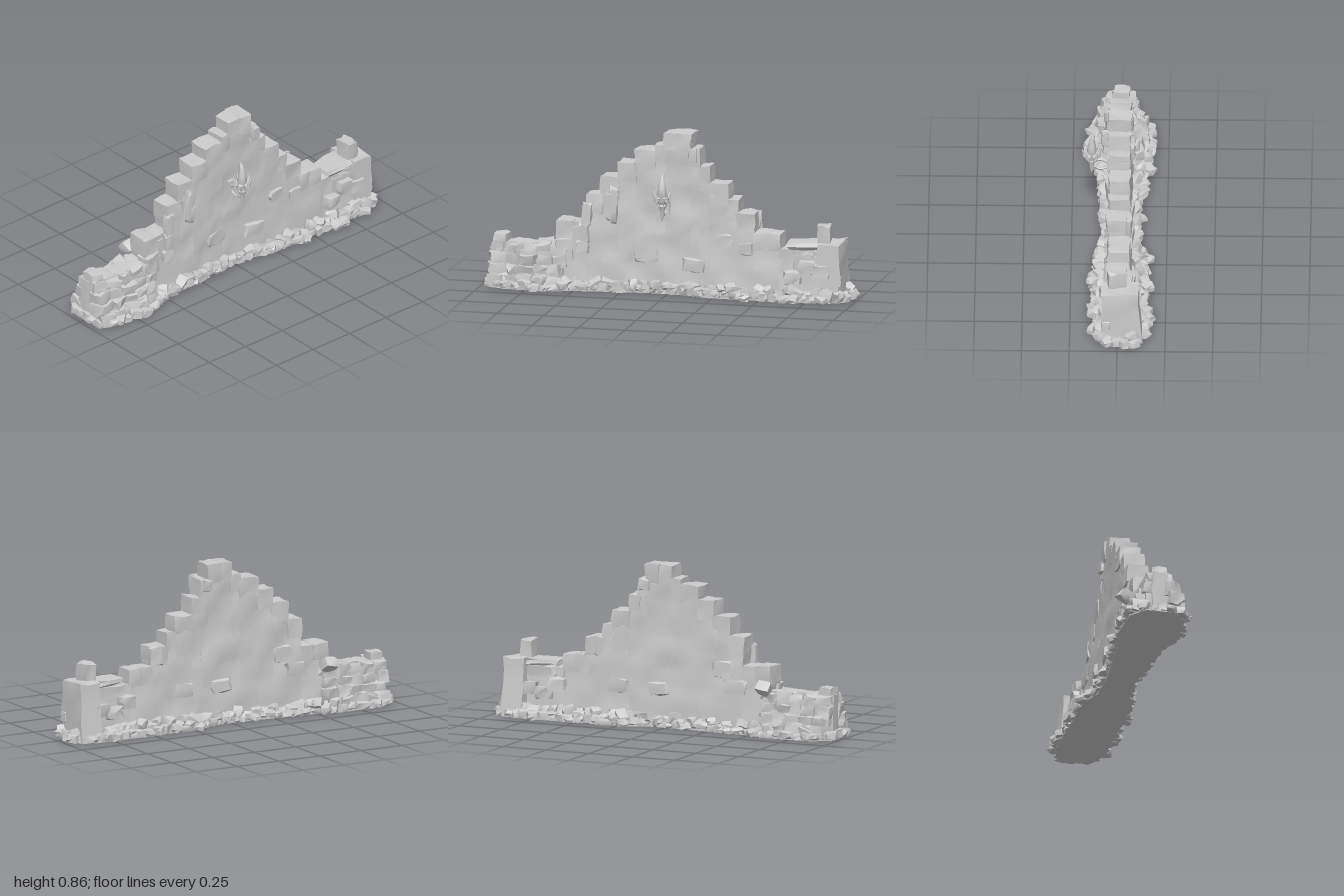
import * as THREE from 'three';
import { toCreasedNormals } from 'three/addons/utils/BufferGeometryUtils.js';

const grey = new THREE.MeshStandardMaterial({ color: 0xcccccc });
const thin = new THREE.MeshStandardMaterial({ color: 0xcccccc, side: THREE.DoubleSide });

let state = 7;
const rnd = (a = 0, b = 1) => {
  state = (state * 16807) % 2147483647;
  return a + (b - a) * (state / 2147483647);
};
// repeatable value in -1..1 for a lattice position
const hash = (a, b, c) => {
  const s = Math.sin(a * 127.1 + b * 311.7 + c * 74.7) * 43758.5453;
  return 2 * (s - Math.floor(s)) - 1;
};
const lerp = THREE.MathUtils.lerp;

function warp(geo, rule) {
  const p = geo.attributes.position, v = new THREE.Vector3();
  for (let i = 0; i < p.count; i++) {
    v.fromBufferAttribute(p, i);
    rule(v);
    p.setXYZ(i, v.x, v.y, v.z);
  }
  return geo;
}

function add(parent, name, geo, material = grey, crease = 0.65) {
  const mesh = new THREE.Mesh(toCreasedNormals(geo, crease), material);
  mesh.name = name;
  parent.add(mesh);
  return mesh;
}

// Chipped block: a subdivided box with softened edges and jittered corners
function stone(parent, name, pos, size, rot = [0, 0, 0], rough = 0.09, round = 0.1) {
  const seed = rnd(1, 90);
  const m = new THREE.Matrix4().compose(
    new THREE.Vector3(...pos),
    new THREE.Quaternion().setFromEuler(new THREE.Euler(...rot)),
    new THREE.Vector3(...size));
  const geo = warp(new THREE.BoxGeometry(1, 1, 1, 2, 2, 2), v => {
    const k = Math.abs(v.x) + Math.abs(v.y) + Math.abs(v.z);
    const [a, b, c] = [v.x, v.y, v.z];
    v.multiplyScalar(1 - round * Math.max(0, k - 0.5));
    v.x += rough * hash(a + seed, b, c);
    v.y += rough * hash(a, b + seed, c);
    v.z += rough * hash(a, b, c + seed);
    v.applyMatrix4(m);
    v.y = Math.max(0, v.y);
  });
  return add(parent, name, geo);
}

// Stepped skyline: x start, x end, top
const steps = [
  [-0.6, -0.44, 0.36], [-0.44, -0.36, 0.51], [-0.36, -0.27, 0.61],
  [-0.27, -0.18, 0.69], [-0.18, -0.07, 0.76], [-0.07, -0.02, 0.79],
  [-0.02, 0.12, 0.86], [0.12, 0.165, 0.78], [0.165, 0.22, 0.69],
  [0.22, 0.32, 0.6], [0.32, 0.37, 0.52], [0.37, 0.46, 0.45],
  [0.46, 0.6, 0.35], [0.6, 0.82, 0.27],
];

function buildWall(root) {
  const wall = new THREE.Group();
  wall.name = 'wall';
  root.add(wall);
  for (const [x0, x1, top] of steps) {
    const w = x1 - x0;
    const geo = new THREE.BoxGeometry(w, top - 0.03, 0.1,
      Math.ceil(w / 0.035), Math.ceil(top / 0.035), 2);
    geo.translate((x0 + x1) / 2, (top - 0.03) / 2, 0);
    add(wall, 'wallSection', warp(geo, v => {
      // worn masonry courses, thicker towards the foot
      const row = Math.floor(v.y / 0.09);
      const col = Math.floor(v.x / 0.14 + (row % 2) * 0.5);
      const side = Math.sign(v.z);
      v.z += side * (0.004 * hash(row, col, side) + 0.003 * Math.sin(v.x * 23 + v.y * 17)
        + 0.013 * Math.max(0, 1 - v.y / 0.5)) - 0.003;
      v.x += 0.004 * Math.sin(v.y * 40);
    }), grey, 0.9);
    // coping blocks along the broken edge
    const n = Math.max(1, Math.round(w / 0.085));
    for (let i = 0; i < n; i++) {
      const h = 0.09 + rnd(0, 0.02);
      stone(wall, 'copingStone', [x0 + w * (i + 0.5) / n, top - h / 2, -0.003],
        [w / n + 0.012, h, 0.112 + rnd(-0.008, 0.012)],
        [0, rnd(-0.05, 0.05), rnd(-0.05, 0.05)], 0.05, 0.04);
    }
  }
  // stones standing proud of both faces: x, y, z, width, height, depth
  [
    [0.135, 0.745, 0.067, 0.04, 0.07, 0.05], [0.13, 0.745, -0.06, 0.05, 0.06, 0.035],
    [-0.3, 0.46, 0.055, 0.05, 0.18, 0.03], [-0.29, 0.41, 0.06, 0.03, 0.09, 0.03],
    [-0.45, 0.3, 0.06, 0.05, 0.11, 0.04], [-0.44, 0.4, 0.055, 0.05, 0.12, 0.04],
    [-0.46, 0.23, 0.065, 0.06, 0.06, 0.04], [0.44, 0.4, -0.055, 0.07, 0.1, 0.03],
    [0.3, 0.3, 0.05, 0.09, 0.06, 0.03], [0.42, 0.26, 0.055, 0.07, 0.06, 0.03],
    [-0.12, 0.2, 0.055, 0.11, 0.07, 0.03], [0.14, 0.16, 0.06, 0.12, 0.07, 0.03],
    [-0.33, 0.33, -0.06, 0.11, 0.08, 0.03], [-0.4, 0.24, -0.06, 0.12, 0.08, 0.04],
    [0.05, 0.2, -0.06, 0.12, 0.07, 0.03], [0.28, 0.2, -0.06, 0.11, 0.07, 0.03],
  ].forEach(([x, y, z, w, h, d]) =>
    stone(wall, 'proudStone', [x, y, z], [w, h, d], [0, rnd(-0.15, 0.15), rnd(-0.1, 0.1)], 0.1));
}

// Broken pier at the left (+x) end, with a loose slab beside it
function buildPier(root) {
  const pier = new THREE.Group();
  pier.name = 'endPier';
  root.add(pier);
  const body = new THREE.BoxGeometry(0.12, 0.31, 0.19, 3, 6, 4).translate(0.868, 0.155, -0.013);
  add(pier, 'pierBody', warp(body, v => {
    v.z += (v.z < 0 ? -0.025 : 0.004) * Math.max(0, 1 - v.y / 0.25);
    v.x += 0.006 * hash(v.x, v.y, v.z);
    v.y = Math.max(0, v.y + (v.y > 0.3 ? 0.008 * hash(v.z, v.x, 2) : 0));
  }));
  stone(pier, 'pierTop', [0.83, 0.345, 0], [0.07, 0.11, 0.1], [0, 0.1, 0], 0.07);
  stone(pier, 'looseSlab', [0.74, 0.29, 0.0], [0.2, 0.04, 0.14], [0, 0.1, 0.03], 0.07);
  stone(pier, 'looseSlab', [0.72, 0.245, -0.02], [0.16, 0.06, 0.14], [0, -0.1, 0], 0.06);
  stone(pier, 'pierFootStone', [0.92, 0.11, 0.06], [0.03, 0.06, 0.04]);
  for (let i = 0; i < 6; i++)
    stone(pier, 'fallenBlock', [0.63 + 0.04 * i, rnd(0.1, 0.19), i % 2 ? 0.06 : -0.075],
      [0.09, 0.07, 0.07], [0, rnd(-0.3, 0.3), 0]);
}

// Collapsed heap of blocks at the right (-x) end
function buildHeap(root) {
  const heap = new THREE.Group();
  heap.name = 'collapsedEnd';
  root.add(heap);
  stone(heap, 'heapCore', [-0.755, 0.1, 0], [0.38, 0.2, 0.16], [0, 0, 0], 0.03, 0.03);
  for (let layer = 0; layer < 4; layer++) {
    const depth = 0.125 - layer * 0.018;
    for (let i = 0; i < 5; i++)
      for (const side of [-1, 1])
        stone(heap, 'heapBlock',
          [-0.91 + i * 0.078 + rnd(-0.015, 0.015), 0.04 + layer * 0.052, side * (depth - 0.03)],
          [rnd(0.07, 0.1), rnd(0.06, 0.08), rnd(0.07, 0.1)],
          [rnd(-0.15, 0.15), rnd(-0.4, 0.4), rnd(-0.12, 0.12)]);
  }
  stone(heap, 'endPost', [-0.915, 0.12, 0], [0.08, 0.24, 0.1], [0, 0.1, 0], 0.05);
  stone(heap, 'endPostCap', [-0.91, 0.235, 0], [0.075, 0.075, 0.09], [0, -0.1, 0], 0.06);
  for (let i = 0; i < 4; i++)
    stone(heap, 'heapTop', [-0.83 + i * 0.065, 0.2, rnd(-0.02, 0.02)],
      [0.08, 0.07, 0.11], [0, rnd(-0.2, 0.2), rnd(-0.12, 0.12)]);
  stone(heap, 'tiltedBlock', [-0.58, 0.255, -0.1], [0.07, 0.06, 0.07], [0.6, 0.2, 0.1]);
  stone(heap, 'tiltedBlock', [-0.56, 0.21, 0.04], [0.09, 0.12, 0.08], [0, 0.2, 0.1]);
}

// Rubble reach from the wall, as [x, front, back]
const reach = [
  [-0.97, 0.09, 0.1], [-0.88, 0.17, 0.17], [-0.62, 0.18, 0.18], [-0.48, 0.13, 0.14],
  [-0.1, 0.09, 0.11], [0.1, 0.1, 0.11], [0.22, 0.14, 0.16], [0.85, 0.14, 0.17], [0.96, 0.07, 0.09],
];
function reachAt(x, col) {
  let i = 1;
  while (i < reach.length - 1 && reach[i][0] < x) i++;
  const [a, b] = [reach[i - 1], reach[i]];
  return lerp(a[col], b[col], THREE.MathUtils.clamp((x - a[0]) / (b[0] - a[0]), 0, 1));
}

function buildRubble(root) {
  const rubble = new THREE.Group();
  rubble.name = 'rubble';
  root.add(rubble);
  // ground slab, flat underneath
  const front = reach.map(([x, f]) => new THREE.Vector2(x, -f + 0.02));
  const back = reach.map(([x, , b]) => new THREE.Vector2(x, b - 0.02)).reverse();
  const slab = new THREE.ExtrudeGeometry(new THREE.Shape([...front, ...back]),
    { depth: 0.02, bevelEnabled: false });
  add(rubble, 'groundSlab', slab.rotateX(-Math.PI / 2));
  // outer ring of flat stones and a taller inner row against the wall
  for (const [col, sign] of [[1, 1], [2, -1]]) {
    for (let x = -0.94; x < 0.95; x += rnd(0.04, 0.06)) {
      const r = reachAt(x, col);
      stone(rubble, 'rubbleStone', [x, rnd(0.014, 0.03), sign * (r - rnd(0.01, 0.04))],
        [rnd(0.05, 0.085), rnd(0.03, 0.05), rnd(0.045, 0.07)],
        [rnd(-0.2, 0.2), rnd(-1, 1), rnd(-0.2, 0.2)], 0.1, 0.2);
      stone(rubble, 'rubbleStone', [x + 0.02, rnd(0.025, 0.055), sign * lerp(0.055, r, rnd(0.2, 0.55))],
        [rnd(0.05, 0.08), rnd(0.035, 0.065), rnd(0.045, 0.07)],
        [rnd(-0.4, 0.4), rnd(-1, 1), rnd(-0.4, 0.4)], 0.1, 0.18);
    }
  }
  // stones around both ends
  for (const s of [-1, 1])
    for (let z = -0.08; z < 0.09; z += 0.045)
      stone(rubble, 'endStone', [s * rnd(0.93, 0.955), rnd(0.018, 0.03), z],
        [0.07, 0.045, 0.06], [0, rnd(-0.8, 0.8), rnd(-0.2, 0.2)], 0.09, 0.2);
}

// Wall torch: pointed holder, spiked bowl, curved flame and bracket
function buildTorch(root) {
  const torch = new THREE.Group();
  torch.name = 'torch';
  torch.position.set(-0.012, 0, 0.145);
  root.add(torch);
  const lathe = (name, pts, seg) =>
    add(torch, name, new THREE.LatheGeometry(pts.map(p => new THREE.Vector2(...p)), seg), thin, 0.5);
  lathe('holder', [[0, 0.4], [0.011, 0.435], [0.013, 0.46], [0.024, 0.485], [0.018, 0.5], [0, 0.5]], 7);
  lathe('bowl', [[0.012, 0.49], [0.036, 0.515], [0.044, 0.532], [0.036, 0.537], [0, 0.53]], 9);
  for (let i = 0; i < 9; i++) {
    const a = i / 9 * Math.PI * 2;
    const spike = new THREE.ConeGeometry(0.012, 0.06, 4).rotateZ(-0.3)
      .translate(0.044, 0.543, 0).rotateY(a);
    add(torch, 'bowlSpike', spike);
    const fang = new THREE.ConeGeometry(0.009, 0.04, 4).rotateZ(Math.PI - 0.25)
      .translate(0.031, 0.505, 0).rotateY(a + 0.35);
    add(torch, 'bowlFang', fang);
  }
  const flame = new THREE.LatheGeometry([[0.018, 0.52], [0.026, 0.545], [0.021, 0.58],
    [0.012, 0.62], [0.007, 0.642], [0, 0.657]].map(p => new THREE.Vector2(...p)), 8);
  add(torch, 'flame', warp(flame, v => { v.z -= 1.1 * Math.max(0, v.y - 0.6) ** 1.6; }), thin, 0.9);
  const arm = new THREE.CatmullRomCurve3([[0, 0.48, -0.01], [0, 0.495, -0.04], [0, 0.485, -0.07], [0, 0.46, -0.1]]
    .map(p => new THREE.Vector3(...p)));
  add(torch, 'bracketArm', new THREE.TubeGeometry(arm, 8, 0.011, 6), grey, 0.8);
  const brace = new THREE.CatmullRomCurve3([[0, 0.45, -0.01], [0, 0.432, -0.04], [0, 0.435, -0.065], [0, 0.45, -0.095]]
    .map(p => new THREE.Vector3(...p)));
  add(torch, 'bracketBrace', new THREE.TubeGeometry(brace, 8, 0.007, 5), grey, 0.8);
  add(torch, 'wallPlate', new THREE.BoxGeometry(0.04, 0.085, 0.02).translate(0, 0.465, -0.09));
}

export function createModel() {
  state = 7;
  const root = new THREE.Group();
  root.name = 'ruinedWall';
  buildWall(root);
  buildPier(root);
  buildHeap(root);
  buildRubble(root);
  buildTorch(root);
  return root;
}
